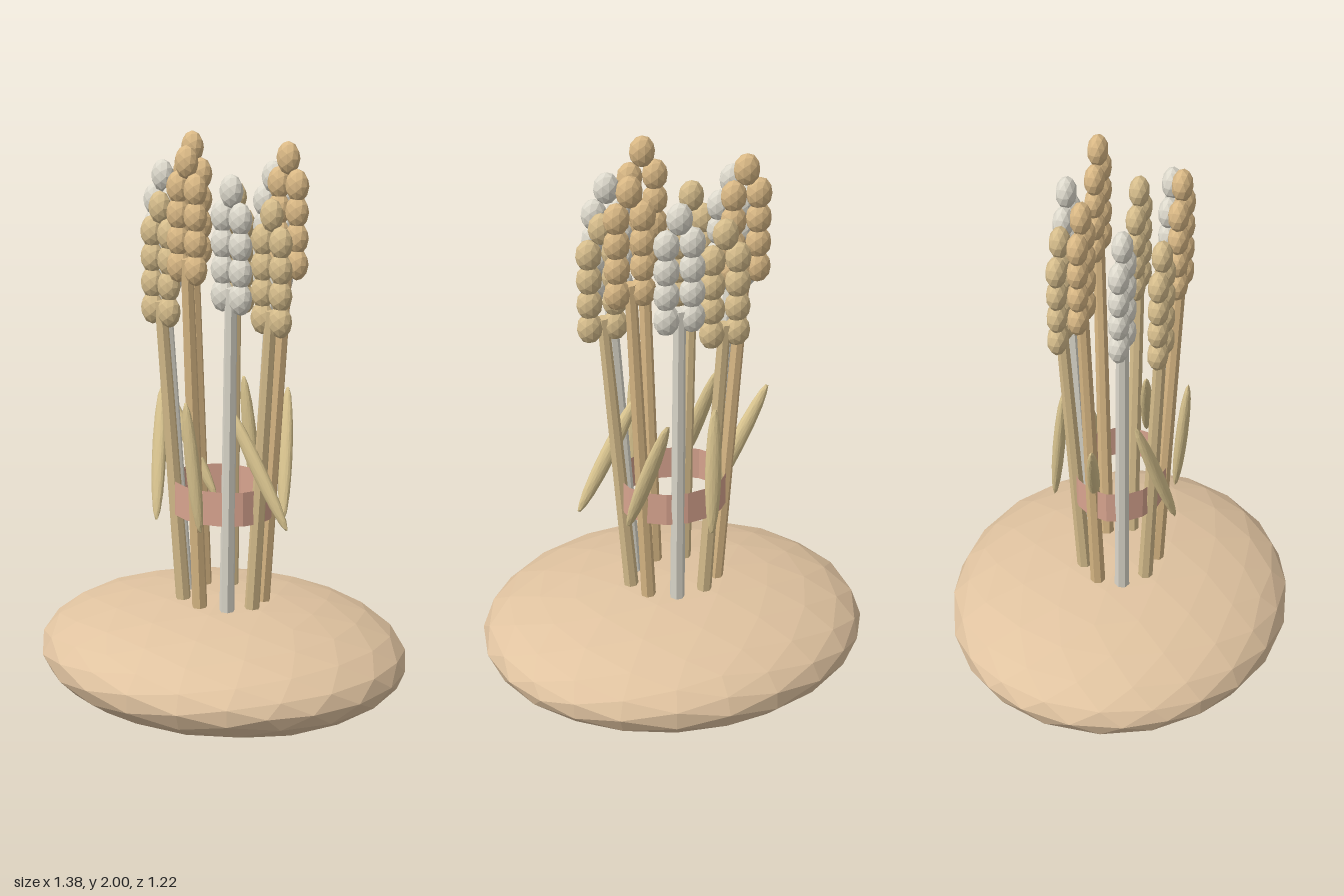
import * as THREE from 'three';

const mat = (color) => new THREE.MeshStandardMaterial({ color, flatShading: true });
const UP = new THREE.Vector3(0, 1, 0);

function add(parent, name, geometry, material, x = 0, y = 0, z = 0) {
  const mesh = new THREE.Mesh(geometry, material);
  mesh.name = name;
  mesh.position.set(x, y, z);
  parent.add(mesh);
  return mesh;
}

// Tapered rod between two points
function rod(parent, name, from, to, rBottom, rTop, material) {
  const dir = to.clone().sub(from);
  const mid = from.clone().add(to).multiplyScalar(0.5);
  const mesh = add(parent, name, new THREE.CylinderGeometry(rTop, rBottom, dir.length(), 7),
    material, mid.x, mid.y, mid.z);
  mesh.quaternion.setFromUnitVectors(UP, dir.normalize());
  return mesh;
}

export function createModel() {
  const model = new THREE.Group();
  model.name = 'grainSheaf';

  // Flattened faceted mound
  const mound = new THREE.IcosahedronGeometry(1, 3).scale(0.69, 0.2, 0.61);
  add(model, 'mound', mound, mat(0xe0c3a0), 0, 0.205, 0);

  // Nine stalks in a ring, cycling through three heights and colours
  const kinds = [
    { base: 1.43, material: mat(0xd6bd8c) },
    { base: 1.515, material: mat(0xdedacd) },
    { base: 1.60, material: mat(0xd9b885) },
  ];
  const grain = new THREE.IcosahedronGeometry(1, 1).scale(0.045, 0.056, 0.035);
  const step = 0.087;
  for (let i = 0; i < 9; i++) {
    const a = (i / 9) * Math.PI * 2;
    const { base, material } = kinds[i % 3];
    const c = Math.cos(a), s = Math.sin(a);
    const stalk = new THREE.Group();
    stalk.name = 'stalk';
    model.add(stalk);

    rod(stalk, 'stem', new THREE.Vector3(0.149 * c, 0.3, 0.124 * s),
      new THREE.Vector3(0.245 * c, base + 0.03, 0.195 * s), 0.027, 0.021, material);

    // Ear: two columns of four grains and one at the tip
    const x = 0.245 * c, z = 0.195 * s;
    for (let row = 0; row < 4; row++)
      for (const side of [-1, 1])
        add(stalk, 'grain', grain, material, x + side * 0.044, base + row * step, z);
    add(stalk, 'tipGrain', grain, material, x, base + 4 * step, z);
  }

  // Band tied around the stems
  const bandMaterial = mat(0xd8a48f);
  bandMaterial.side = THREE.DoubleSide;
  const band = new THREE.CylinderGeometry(1, 1, 0.12, 16, 1, true).scale(0.193, 1, 0.163);
  add(model, 'band', band, bandMaterial, 0, 0.77, 0);

  // Six slender leaves, repeating three tilts
  const leafMaterial = mat(0xd9c48f);
  const leafGeometry = new THREE.IcosahedronGeometry(1, 2).scale(0.029, 0.235, 0.021);
  const tilts = [[-0.245, 0.41, 0.055], [-0.02, 0.42, 0.04], [-0.1, 0.41, -0.11]];
  for (let i = 0; i < 6; i++) {
    const a = THREE.MathUtils.degToRad(10 + i * 60);
    const leaf = add(model, 'leaf', leafGeometry, leafMaterial,
      0.226 * Math.cos(a), 0.92, 0.212 * Math.sin(a));
    leaf.quaternion.setFromUnitVectors(UP, new THREE.Vector3(...tilts[i % 3]).normalize());
  }

  return model;
}
